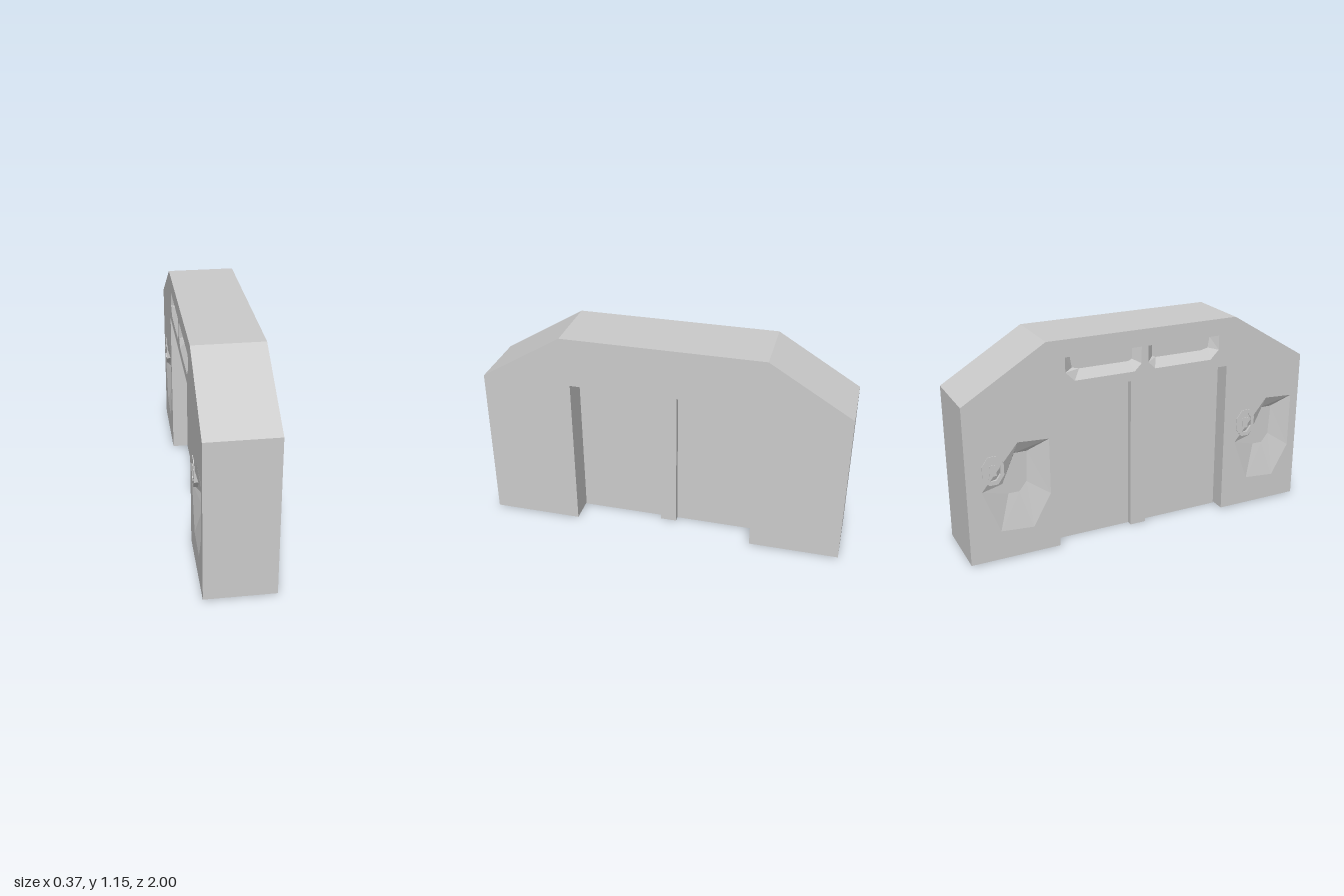
import * as THREE from 'three';

const HALF = 0.185;      // half thickness of the frame
const SKIN = 0.04;       // thickness of the relief layer on the -x face

// Polygon in (z, y)
const poly = (P, Kind = THREE.Shape) => new Kind(P.map(([z, y]) => new THREE.Vector2(z, y)));

// Extrudes a (z, y) shape from xMax towards -x
function slab(shape, xMax, depth) {
  const g = new THREE.ExtrudeGeometry(shape, { depth, bevelEnabled: false });
  g.rotateY(-Math.PI / 2);
  g.translate(xMax, 0, 0);
  return g;
}

// Faceted recess facing -x: sloping walls from the outer loop to the inner loop, plus a floor
function dish(outer, inner) {
  const pos = [];
  const tri = (...c) => c.forEach(([z, y, x]) => pos.push(x, y, z));
  const o = outer.map(([z, y]) => [z, y, -HALF]);
  const n = inner.map(([z, y]) => [z, y, -HALF + SKIN - 0.004]);
  for (let i = 0; i < o.length; i++) {
    const j = (i + 1) % o.length;
    tri(o[i], o[j], n[j]);
    tri(o[i], n[j], n[i]);
    if (i > 0 && j > 0) tri(n[0], n[i], n[j]);
  }
  const g = new THREE.BufferGeometry();
  g.setAttribute('position', new THREE.Float32BufferAttribute(pos, 3));
  g.computeVertexNormals();
  return g;
}

const octagon = (cz, cy, rz, ry) => Array.from({ length: 8 }, (_, i) => {
  const a = Math.PI / 8 + i * Math.PI / 4;
  return [cz + rz * Math.cos(a), cy + ry * Math.sin(a)];
});

export function createModel() {
  const group = new THREE.Group();
  const grey = new THREE.MeshStandardMaterial({ color: 0xcccccc, flatShading: true });
  grey.name = 'lightGrey';
  const add = (name, geometry) => {
    const m = new THREE.Mesh(geometry, grey);
    m.name = name;
    group.add(m);
    return m;
  };
  const box = (name, x0, x1, y0, y1, z0, z1) =>
    add(name, new THREE.BoxGeometry(x1 - x0, y1 - y0, z1 - z0))
      .position.set((x0 + x1) / 2, (y0 + y1) / 2, (z0 + z1) / 2);

  // Chamfered frame with a wide doorway
  const arch = [
    [-1, 0.008], [-0.505, 0.008], [-0.505, 0.88], [0.505, 0.88], [0.505, 0.008],
    [1, 0.008], [1, 0.88], [0.55, 1.153], [-0.55, 1.153], [-1, 0.88],
  ];
  add('frame', slab(poly(arch), HALF, 2 * HALF - SKIN));

  // Recesses: one panel per leg, two slots over the doorway
  const recesses = [];
  for (const [side, dz] of [['rear', -1.5], ['front', 0]]) {
    const shift = (P) => P.map(([z, y]) => [z + dz, y]);
    recesses.push({
      name: side + 'LegRecess',
      outer: shift([[0.58, 0.41], [0.67, 0.17], [0.85, 0.155], [0.95, 0.33], [0.95, 0.64], [0.78, 0.65]]),
      inner: shift([[0.70, 0.42], [0.73, 0.36], [0.79, 0.36], [0.83, 0.41], [0.84, 0.58], [0.77, 0.58]]),
    });
    // Octagonal control with a rim and a small centre key
    const rim = poly(octagon(0.644 + dz, 0.52, 0.062, 0.085));
    rim.holes.push(poly(octagon(0.644 + dz, 0.52, 0.042, 0.06), THREE.Path));
    add(side + 'ControlRim', slab(rim, -HALF + 0.02, 0.024));
    box(side + 'ControlKey', -HALF - 0.003, -HALF + 0.02, 0.49, 0.55, 0.626 + dz, 0.662 + dz);
  }
  const slotOuter = [[0.02, 0.97], [0.06, 0.93], [0.4, 0.93], [0.45, 0.98], [0.45, 1.06], [0.02, 1.06]];
  const slotInner = [[0.06, 0.99], [0.08, 0.98], [0.36, 0.98], [0.4, 0.99], [0.41, 1.05], [0.06, 1.05]];
  const mirror = (P) => P.map(([z, y]) => [-z, y]).reverse();
  recesses.push({ name: 'frontSlot', outer: slotOuter, inner: slotInner });
  recesses.push({ name: 'rearSlot', outer: mirror(slotOuter), inner: mirror(slotInner) });

  // Relief layer on the -x face, pierced by the recesses
  const skin = poly(arch);
  for (const r of recesses) {
    skin.holes.push(poly(r.outer, THREE.Path));
    add(r.name, dish(r.outer, r.inner));
  }
  add('reliefFace', slab(skin, -HALF + SKIN, SKIN));

  // Sliding doors and the post where they meet
  box('rearDoor', -0.095, 0.036, 0, 0.882, -0.525, -0.01);
  box('frontDoor', -0.095, 0.036, 0, 0.882, -0.01, 0.507);
  box('doorPost', -0.127, 0.07, 0, 0.882, -0.055, 0.036);

  return group;
}
